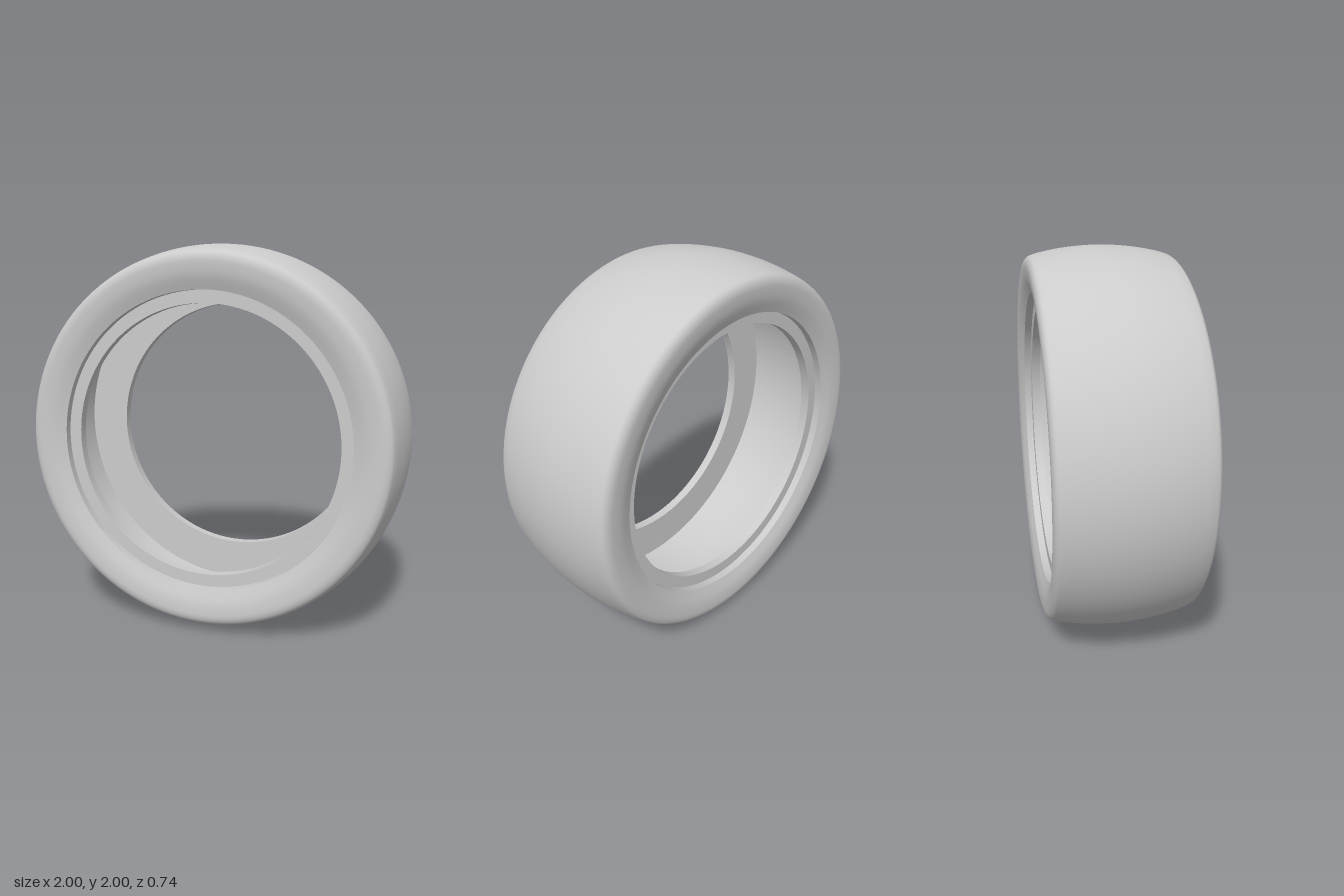
import * as THREE from 'three';

const SEGMENTS = 144;
const material = new THREE.MeshStandardMaterial({ color: 0xcccccc });

// Revolve a [radius, z] profile about the wheel axis (z).
function ring(name, profile) {
  const points = profile.map(([r, z]) => new THREE.Vector2(r, z));
  const geometry = new THREE.LatheGeometry(points, SEGMENTS);
  geometry.rotateX(Math.PI / 2);
  const mesh = new THREE.Mesh(geometry, material);
  mesh.name = name;
  return mesh;
}

// Mirror a half profile (centre outward to +z) into a full one.
function mirrored(half) {
  const back = half.filter(([, z]) => z > 0).map(([r, z]) => [r, -z]).reverse();
  return [...back, ...half];
}

// Smooth a profile through its control points.
function smooth(profile, count) {
  const curve = new THREE.SplineCurve(profile.map(([r, z]) => new THREE.Vector2(r, z)));
  return curve.getPoints(count).map((p) => [p.x, p.y]);
}

export function createModel() {
  const tyre = new THREE.Group();
  tyre.name = 'tyre';

  // Crowned tread, rounded shoulders and bulging sidewalls in one smooth skin
  const outer = mirrored([
    [1, 0], [0.996, 0.1], [0.985, 0.2], [0.968, 0.29], [0.957, 0.33],
    [0.945, 0.355], [0.92, 0.369], [0.885, 0.371], [0.83, 0.363], [0.765, 0.34],
  ]);
  tyre.add(ring('treadAndSidewalls', smooth(outer, 108)));

  // Stepped bead on each side: rim seat, ledge, lip and inner wall
  const bead = [[0.765, 0.34], [0.765, 0.3], [0.7, 0.3], [0.7, 0.25], [0.92, 0.25]];
  const names = ['rimSeat', 'beadLedge', 'beadLip', 'innerWall'];
  names.forEach((name, i) => {
    const [a, b] = [bead[i], bead[i + 1]];
    tyre.add(ring(name + 'Front', [a, b]));
    tyre.add(ring(name + 'Back', [[b[0], -b[1]], [a[0], -a[1]]]));
  });

  // Hollow inside of the tread
  const liner = [[0.92, 0.25], [0.934, 0.13], [0.94, 0], [0.934, -0.13], [0.92, -0.25]];
  tyre.add(ring('innerLiner', smooth(liner, 20)));

  tyre.position.y = 1;
  const model = new THREE.Group();
  model.name = 'model';
  model.add(tyre);
  return model;
}
